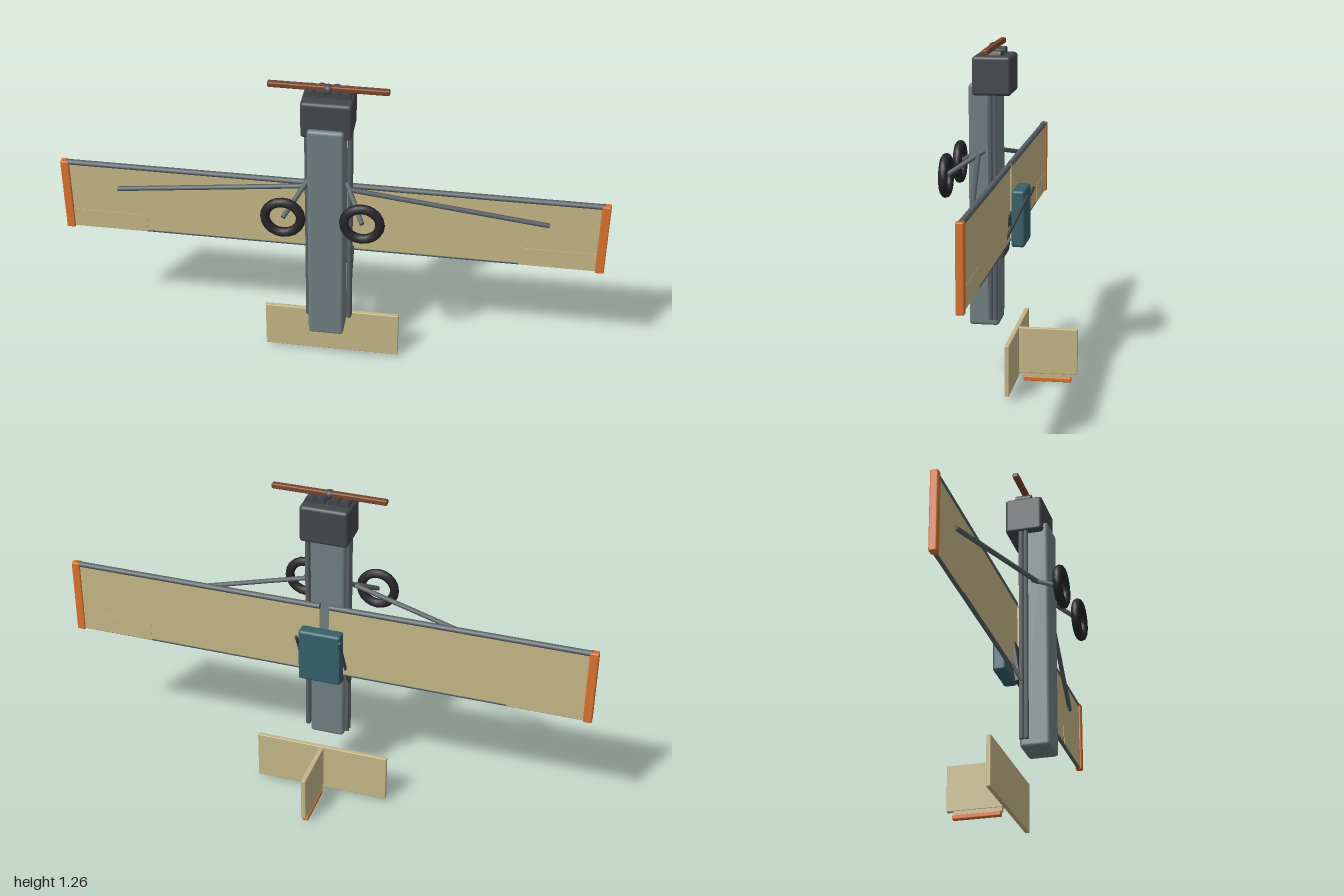
import * as THREE from 'three';
import { RoundedBoxGeometry } from 'three/addons/geometries/RoundedBoxGeometry.js';

const mat = (color) => new THREE.MeshStandardMaterial({ color });
const fabric = mat(0xc4b586), hull = mat(0x6f7d80), dark = mat(0x42474a), steel = mat(0x566064),
  orange = mat(0xd9712e), teal = mat(0x35606b), rubber = mat(0x252528), wood = mat(0x7a4428);

export function createModel() {
  const model = new THREE.Group();
  model.name = 'uprightAircraft';

  const add = (name, geometry, material, x = 0, y = 0, z = 0) => {
    const mesh = new THREE.Mesh(geometry, material);
    mesh.name = name;
    mesh.position.set(x, y, z);
    model.add(mesh);
    return mesh;
  };
  // Box given by its limits on each axis, rounded when r > 0
  const block = (name, material, [x0, x1], [y0, y1], [z0, z1], r = 0) => {
    const size = [x1 - x0, y1 - y0, z1 - z0];
    const geometry = r ? new RoundedBoxGeometry(...size, 2, r) : new THREE.BoxGeometry(...size);
    return add(name, geometry, material, (x0 + x1) / 2, (y0 + y1) / 2, (z0 + z1) / 2);
  };
  // Round bar between two points
  const rod = (name, material, a, b, r, sides = 10) => {
    const from = new THREE.Vector3(...a), to = new THREE.Vector3(...b);
    const dir = to.clone().sub(from);
    const mesh = add(name, new THREE.CylinderGeometry(r, r, dir.length(), sides), material);
    mesh.position.copy(from).add(to).multiplyScalar(0.5);
    mesh.quaternion.setFromUnitVectors(new THREE.Vector3(0, 1, 0), dir.normalize());
    return mesh;
  };

  // Fuselage and engine cowling
  block('fuselage', hull, [-0.065, 0.065], [0.228, 1.124], [0.047, 0.158], 0.012);
  block('cowling', dark, [-0.09, 0.09], [1.084, 1.225], [0, 0.141], 0.012);

  // Engine top, hub and propeller
  rod('propellerShaft', dark, [0, 1.2, 0.075], [0, 1.25, 0.075], 0.014, 16);
  add('propellerHub', new THREE.SphereGeometry(0.019, 16, 10), dark, 0, 1.249, 0.075);
  block('propeller', wood, [-0.212, 0.212], [1.243, 1.263], [0.062, 0.084], 0.005);

  // Pilot pod and seat
  block('pod', teal, [-0.08, 0.08], [0.53, 0.74], [-0.05, 0], 0.01);
  const seat = block('seat', dark, [-0.065, 0.065], [0.485, 0.645], [0.018, 0.042], 0.004);
  seat.rotation.x = -0.14;

  // Tail surfaces
  block('tailplane', fabric, [-0.257, 0.257], [0.02, 0.21], [-0.019, -0.002], 0.003);
  block('fin', fabric, [-0.009, 0.009], [0.033, 0.208], [-0.238, -0.015], 0.003);
  block('finFoot', fabric, [-0.008, 0.008], [0.018, 0.04], [-0.212, -0.032]);
  block('rudderEdge', orange, [-0.011, 0.011], [0.003, 0.02], [-0.215, -0.036], 0.003);

  for (const s of [-1, 1]) {
    const side = s > 0 ? 'left' : 'right';
    const span = (a, b) => (s > 0 ? [a, b] : [-b, -a]);

    // Wing panel with spars, aileron and tip
    block(side + 'Wing', fabric, span(0.018, 0.98), [0.54, 0.82], [0.013, 0.027]);
    block(side + 'Aileron', fabric, span(0.69, 0.975), [0.536, 0.612], [0.012, 0.029]);
    rod(side + 'LeadingEdge', steel, [s * 0.018, 0.817, 0.02], [s * 0.98, 0.817, 0.02], 0.011);
    rod(side + 'TrailingEdge', steel, [s * 0.018, 0.539, 0.02], [s * 0.98, 0.539, 0.02], 0.008);
    block(side + 'WingTip', orange, span(0.968, 1), [0.53, 0.825], [0.007, 0.035], 0.005);

    // Wing strut
    rod(side + 'WingStrut', steel, [s * 0.075, 0.87, 0.12], [s * 0.79, 0.722, 0.03], 0.009);

    // Rails along the fuselage side
    for (const z of [0.058, 0.076])
      rod(side + 'Rail', steel, [s * 0.077, 0.255, z], [s * 0.077, 1.09, z], 0.009);

    // Landing gear
    rod(side + 'GearLeg', steel, [s * 0.07, 0.882, 0.1], [s * 0.14, 0.802, 0.226], 0.009);
    add(side + 'Wheel', new THREE.TorusGeometry(0.064, 0.017, 10, 20), rubber, s * 0.14, 0.802, 0.226);

    // Pod brace
    rod(side + 'PodBrace', dark, [s * 0.082, 0.725, -0.062], [s * 0.082, 0.475, 0.06], 0.006);

    // Engine cylinders
    for (const x of [0.026, 0.062])
      rod(side + 'EngineCylinder', dark, [s * x, 1.233 - x * 0.1, 0.037], [s * x, 1.233 - x * 0.1, 0.097], 0.02, 14);
  }
  return model;
}
